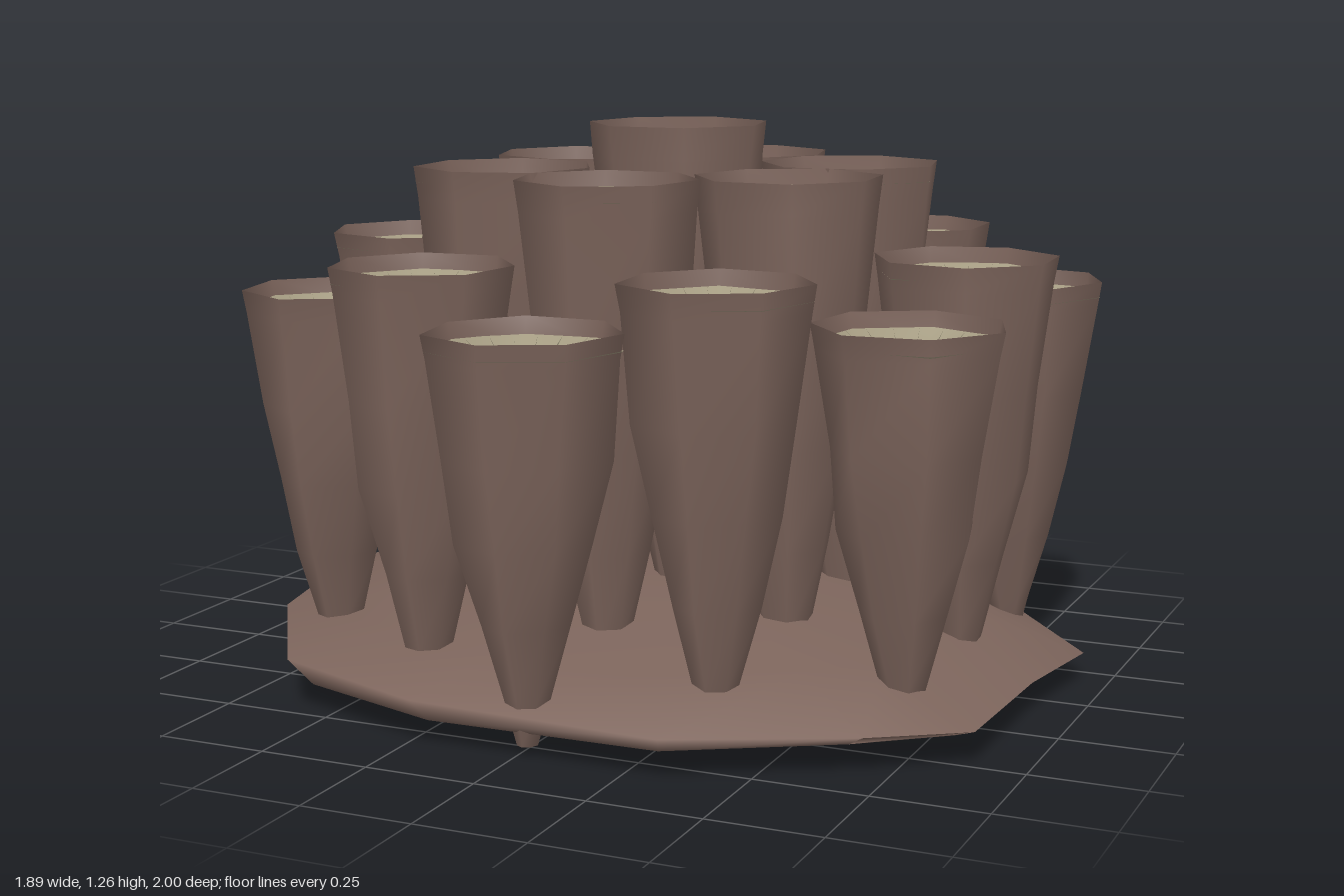
import * as THREE from 'three';

const brown = new THREE.MeshStandardMaterial({ color: 0x7d655c, side: THREE.DoubleSide });
const olive = new THREE.MeshStandardMaterial({ color: 0xa39a80, side: THREE.DoubleSide });

// small seeded generator for the organic irregularity
let seed = 7;
function rand() {
  seed = (seed * 16807) % 2147483647;
  return seed / 2147483647;
}

// skin over closed rings of [x, y, z] points, each ring running from +z towards +x
function loft(rings) {
  const n = rings[0].length;
  const index = [];
  for (let i = 0; i < rings.length - 1; i++) {
    for (let j = 0; j < n; j++) {
      const a = i * n + j, b = i * n + (j + 1) % n;
      index.push(a, b, b + n, a, b + n, a + n);
    }
  }
  const geo = new THREE.BufferGeometry();
  geo.setAttribute('position', new THREE.Float32BufferAttribute(rings.flat(2), 3));
  geo.setIndex(index);
  geo.computeVertexNormals();
  return geo;
}

function addMesh(parent, name, geo, mat) {
  const mesh = new THREE.Mesh(geo, mat);
  mesh.name = name;
  parent.add(mesh);
}

const SIDES = 7;

// one tapering seven-sided tube with a ribbed cup sunk into its mouth
function createTube(x, z, bottom, top) {
  const tube = new THREE.Group();
  tube.name = 'tube';
  tube.position.set(x, 0, z);
  // a corner of the outermost tubes points away from the middle
  const turn = Math.abs(x) < 0.1 ? (z < 0 ? Math.PI : 0) : rand() * Math.PI * 2;
  const wobble = Array.from({ length: SIDES }, () => 0.97 + rand() * 0.07);
  const ring = (r, y, rough = 0) => wobble.map((w, j) => {
    const a = turn + j / SIDES * Math.PI * 2;
    const k = r * w * (1 + (rand() - 0.5) * rough);
    return [Math.sin(a) * k, y, Math.cos(a) * k];
  });

  // outer wall: [fraction of height, radius]
  const wall = [[0, 0.022], [0.12, 0.05], [0.3, 0.096], [0.5, 0.14], [0.7, 0.172], [0.94, 0.197], [1, 0.206]];
  const rings = wall.map(([t, r]) => ring(r, bottom + t * (top - bottom), t < 0.9 ? 0.14 : 0.02));
  rings.unshift(ring(0.0001, bottom));
  addMesh(tube, 'tubeWall', loft(rings), brown);

  // shallow cup just below the rim: [depth, radius]
  const cup = [[0.035, 0.2], [0.075, 0.14], [0.115, 0.07], [0.14, 0.0001]];
  const cupRings = cup.map(([d, r]) => ring(r, top - d, 0.04));
  addMesh(tube, 'cup', loft(cupRings), olive);

  // thin radial ribs standing on the cup
  const pos = [];
  for (let j = 0; j < SIDES; j++) {
    for (const f of [0.17, 0.5, 0.83]) {
      const at = (i) => new THREE.Vector3(...cupRings[i][j])
        .lerp(new THREE.Vector3(...cupRings[i][(j + 1) % SIDES]), f);
      const a = at(0), b = at(2);
      const crest = at(1);
      crest.y += 0.01;
      pos.push(...a, ...b, ...crest);
    }
  }
  const ribs = new THREE.BufferGeometry();
  ribs.setAttribute('position', new THREE.Float32BufferAttribute(pos, 3));
  ribs.computeVertexNormals();
  addMesh(tube, 'cupRibs', ribs, olive);
  return tube;
}

// irregular hollow lens-shaped foot with a triangular opening below
function createBase() {
  const base = new THREE.Group();
  base.name = 'base';
  const outline = [
    [0.34, 0.86], [0.7, 0.65], [0.89, 0.5], [0.9, 0.1], [0.94, -0.19], [0.58, -0.65], [0.3, -0.86], [-0.02, -0.92],
    [-0.32, -0.87], [-0.62, -0.62], [-0.9, -0.4], [-0.95, -0.08], [-0.85, 0.35], [-0.6, 0.74], [-0.22, 0.87]];
  const ring = (s, y) => outline.map(([x, z]) => [x * s, y, z * s]);
  const edge = outline.map(([x, z]) => [x, 0.09 - 0.025 * x + 0.015 * z, z]);
  addMesh(base, 'baseShell', loft([
    ring(0.68, 0.007), ring(0.94, 0.052), edge, ring(0.72, 0.15), ring(0.35, 0.2), ring(0.0001, 0.205)]), brown);

  const floor = new THREE.Shape(outline.map(([x, z]) => new THREE.Vector2(x * 0.68, z * 0.68)));
  floor.holes.push(new THREE.Path([[0.53, -0.06], [0.24, 0.5], [-0.57, -0.22]]
    .map(([x, z]) => new THREE.Vector2(x, z))));
  const geo = new THREE.ShapeGeometry(floor);
  geo.rotateX(Math.PI / 2);
  geo.translate(0, 0.007, 0);
  addMesh(base, 'baseFloor', geo, brown);
  return base;
}

export function createModel() {
  const model = new THREE.Group();
  model.name = 'tubeCluster';
  model.add(createBase());

  // hexagonal cluster of nineteen tubes, tallest in the middle
  const step = 0.397;
  for (let q = -2; q <= 2; q++) {
    for (let r = -2; r <= 2; r++) {
      if (Math.abs(q + r) > 2) continue;
      const x = q * step * Math.sqrt(3) / 2;
      const z = (r + q / 2) * step;
      const d = Math.hypot(x, z) / step;
      const top = d < 0.5 ? 1.26 : d < 1.2 ? 1.165 : d < 1.9 ? 0.985 : 0.89;
      model.add(createTube(x + 0.014, z - 0.003, d > 1.5 ? 0.02 : 0, top));
    }
  }
  return model;
}
